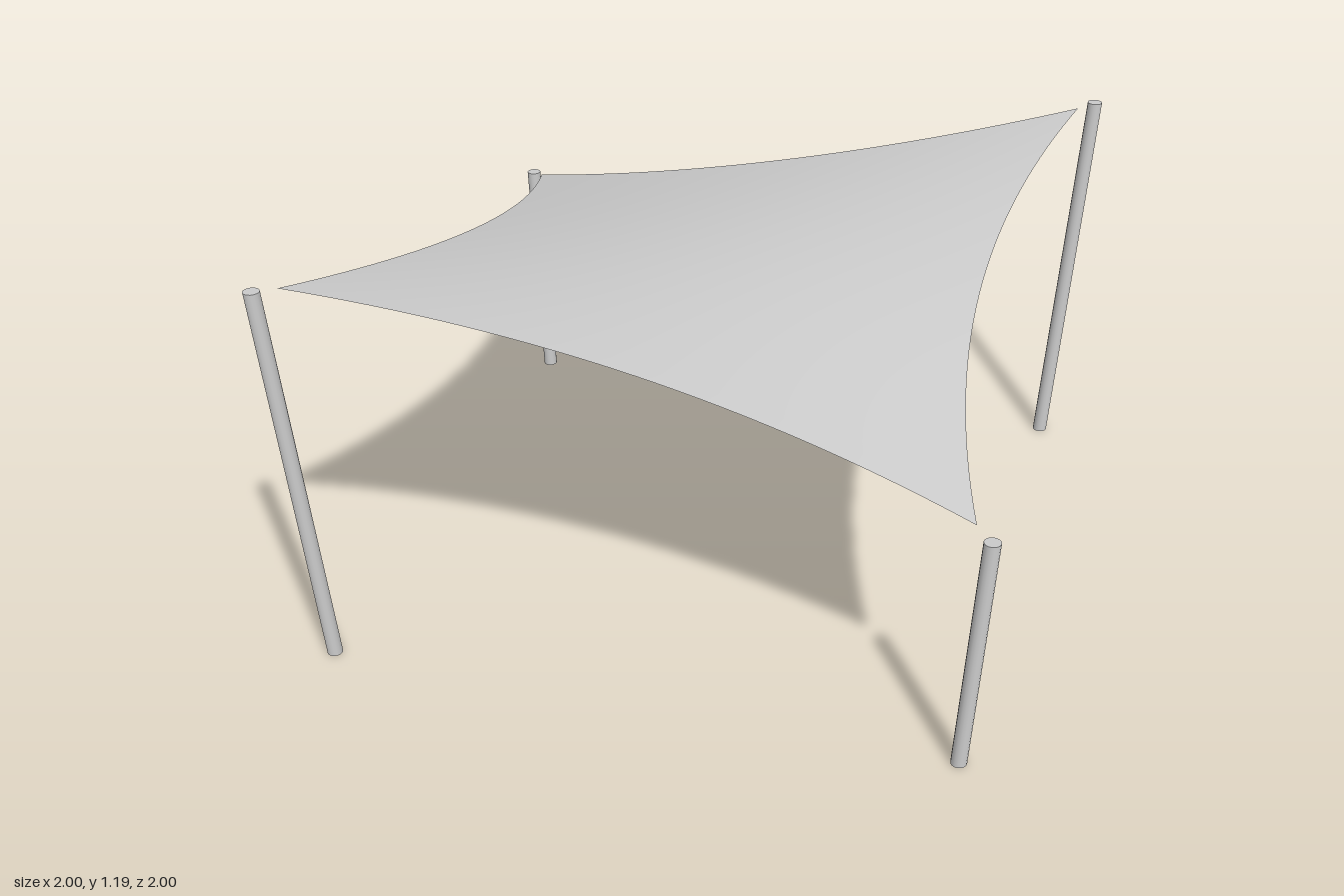
import * as THREE from 'three';

const material = new THREE.MeshStandardMaterial({ color: 0xcccccc });
const sailMaterial = new THREE.MeshStandardMaterial({ color: 0xcccccc, side: THREE.DoubleSide });

// Saddle-shaped cloth: two opposite corners high, two low, edges bowed inward
function makeSail() {
  const geometry = new THREE.PlaneGeometry(2, 2, 32, 32);
  geometry.rotateX(-Math.PI / 2);
  const p = geometry.attributes.position;
  for (let i = 0; i < p.count; i++) {
    const u = p.getX(i), v = p.getZ(i);
    p.setXYZ(
      i,
      u * (0.77 + 0.1475 * v * v) - 0.0125 * v,
      0.9665 - 0.2115 * u * v,
      v * (0.77 + 0.1475 * u * u) - 0.0125 * u
    );
  }
  geometry.computeVertexNormals();
  const sail = new THREE.Mesh(geometry, sailMaterial);
  sail.name = 'sail';
  return sail;
}

// Round post leaning outward along its diagonal, with level ends
function makePost(sx, sz, height, name) {
  const base = 0.907, lean = 0.06;
  const geometry = new THREE.CylinderGeometry(0.0225, 0.0225, height, 16);
  geometry.translate(0, height / 2, 0);
  const p = geometry.attributes.position;
  for (let i = 0; i < p.count; i++) {
    const reach = base + lean * p.getY(i);
    p.setX(i, p.getX(i) + sx * reach);
    p.setZ(i, p.getZ(i) + sz * reach);
  }
  const post = new THREE.Mesh(geometry, material);
  post.name = name;
  return post;
}

export function createModel() {
  const model = new THREE.Group();
  model.name = 'shadeSail';
  model.add(makeSail());
  for (const s of [1, -1]) {
    const end = s > 0 ? 'Front' : 'Back';
    model.add(makePost(-s, s, 1.186, 'tallPost' + end));
    model.add(makePost(s, s, 0.743, 'shortPost' + end));
  }
  return model;
}
